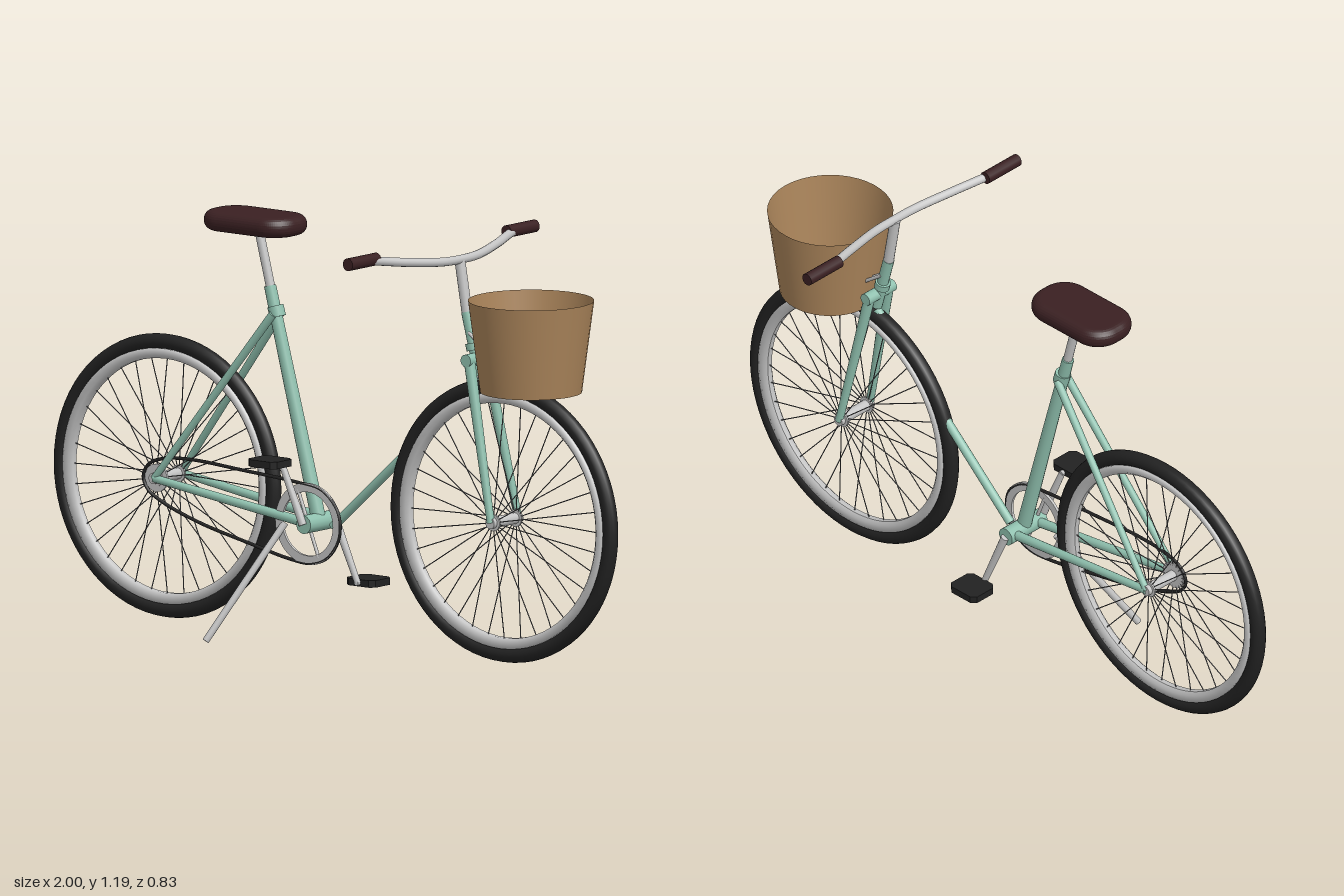
import * as THREE from 'three';
import { mergeGeometries } from 'three/addons/utils/BufferGeometryUtils.js';

const mat = (name, color, side = THREE.FrontSide) => {
  const m = new THREE.MeshStandardMaterial({ color, side });
  m.name = name;
  return m;
};
const V = (x, y, z = 0) => new THREE.Vector3(x, y, z);

// Tapered cylinder between two points
function rod(a, b, r0, r1 = r0, sides = 14) {
  const d = b.clone().sub(a);
  const g = new THREE.CylinderGeometry(r1, r0, d.length(), sides);
  g.applyQuaternion(new THREE.Quaternion().setFromUnitVectors(V(0, 1), d.normalize()));
  const c = a.clone().add(b).multiplyScalar(0.5);
  return g.translate(c.x, c.y, c.z);
}

export function createModel() {
  const group = new THREE.Group();
  const frame = mat('sage green paint', 0x8fc0ae);
  const silver = mat('silver metal', 0xc4c4c4);
  const spokeMat = mat('spoke grey', 0x6c6c6e);
  const black = mat('black rubber', 0x222222);
  const leather = mat('dark brown leather', 0x3a2022);
  const wicker = mat('basket tan', 0xaa845a, THREE.DoubleSide);

  const add = (name, geo, material, parent = group) => {
    const m = new THREE.Mesh(geo, material);
    m.name = name;
    parent.add(m);
    return m;
  };
  const tube = (name, a, b, material, r0, r1) => add(name, rod(a, b, r0, r1), material);

  // Wheels: tyre, rim, hub with flanges, spokes
  const AX = 0.6, AY = 0.41;
  for (const [name, x] of [['rearWheel', -AX], ['frontWheel', AX]]) {
    const wheel = new THREE.Group();
    wheel.name = name;
    wheel.position.set(x, AY, 0);
    group.add(wheel);
    add('tyre', new THREE.TorusGeometry(0.378, 0.022, 14, 72), black, wheel);
    const rimProfile = [[0.331, -0.008], [0.34, -0.017], [0.36, -0.018], [0.36, 0.018],
      [0.34, 0.017], [0.331, 0.008], [0.331, -0.008]].map(p => new THREE.Vector2(...p));
    add('rim', new THREE.LatheGeometry(rimProfile, 72).rotateX(Math.PI / 2), silver, wheel);
    add('hub', rod(V(0, 0, -0.065), V(0, 0, 0.065), 0.016), silver, wheel);
    for (const s of [-1, 1])
      add('hubFlange', rod(V(0, 0, s * 0.046), V(0, 0, s * 0.052), 0.024), silver, wheel);
    const spokes = [];
    for (let i = 0; i < 36; i++) {
      const a = i / 36 * Math.PI * 2, s = i % 2 ? 1 : -1;
      spokes.push(rod(V(Math.cos(a) * 0.02, Math.sin(a) * 0.02, s * 0.048),
        V(Math.cos(a) * 0.336, Math.sin(a) * 0.336, 0), 0.0016, 0.0016, 5));
    }
    add('spokes', mergeGeometries(spokes), spokeMat, wheel);
  }

  // Frame
  const bx = -0.06, by = 0.337;
  tube('bottomBracket', V(bx, by, -0.07), V(bx, by, 0.07), frame, 0.026);
  tube('seatTube', V(bx, by), V(-0.235, 0.985), frame, 0.021, 0.017);
  tube('seatCollar', V(-0.207, 0.9), V(-0.216, 0.93), frame, 0.023);
  tube('downTube', V(-0.01, 0.328), V(0.512, 0.797), frame, 0.013);
  tube('headTube', V(0.466, 0.985), V(0.513, 0.81), frame, 0.016);
  tube('upperHeadCollar', V(0.488, 0.9), V(0.493, 0.88), frame, 0.022);
  for (const s of [-1, 1]) {
    tube('chainStay', V(-AX, AY, s * 0.06), V(bx, by, s * 0.045), frame, 0.011, 0.014);
    tube('seatStay', V(-AX, AY, s * 0.06), V(-0.21, 0.91, s * 0.018), frame, 0.01, 0.012);
    tube('forkBlade', V(AX, AY, s * 0.061), V(0.505, 0.855, s * 0.037), frame, 0.011, 0.016);
  }
  tube('forkCrown', V(0.505, 0.857, -0.054), V(0.505, 0.857, 0.054), frame, 0.018);

  // Seat post and saddle
  tube('seatPost', V(-0.23, 0.97), V(-0.276, 1.145), silver, 0.013);
  const sx = 0.127, sz = 0.062, sr = 0.05;
  const outline = new THREE.Shape();
  outline.absarc(sx - sr, sz - sr, sr, 0, Math.PI / 2);
  outline.absarc(-sx + sr, sz - sr, sr, Math.PI / 2, Math.PI);
  outline.absarc(-sx + sr, -sz + sr, sr, Math.PI, Math.PI * 1.5);
  outline.absarc(sx - sr, -sz + sr, sr, Math.PI * 1.5, Math.PI * 2);
  const saddle = new THREE.ExtrudeGeometry(outline, {
    depth: 0.004, bevelThickness: 0.026, bevelSize: 0.026, bevelSegments: 6, curveSegments: 10,
  });
  saddle.rotateX(-Math.PI / 2).translate(-0.287, 1.158, 0);
  add('saddle', saddle, leather);

  // Stem, handlebar and grips
  tube('stem', V(0.468, 0.975), V(0.441, 1.13), silver, 0.015);
  const bar = new THREE.CatmullRomCurve3([
    V(0.376, 1.163, -0.4), V(0.376, 1.162, -0.33), V(0.412, 1.145, -0.2), V(0.44, 1.133, -0.08),
    V(0.444, 1.131, 0), V(0.44, 1.133, 0.08), V(0.412, 1.145, 0.2), V(0.376, 1.162, 0.33), V(0.376, 1.163, 0.4)]);
  add('handlebar', new THREE.TubeGeometry(bar, 60, 0.0125, 12), silver);
  for (const s of [-1, 1])
    tube('grip', V(0.375, 1.163, s * 0.29), V(0.375, 1.163, s * 0.417), leather, 0.018);

  // Basket: open tapered wall with a floor, and its brackets
  const wall = [[0, 0.783], [0.142, 0.783], [0.176, 1.042]].map(p => new THREE.Vector2(...p));
  const basket = new THREE.Group();
  basket.name = 'basket';
  basket.position.x = 0.695;
  group.add(basket);
  add('basketFloor', new THREE.LatheGeometry(wall.slice(0, 2), 40), wicker, basket);
  add('basketWall', new THREE.LatheGeometry(wall.slice(1), 40), wicker, basket);
  tube('basketSupport', V(0.505, 0.81), V(0.68, 0.814), silver, 0.009);
  for (const s of [-1, 1])
    tube('basketBracket', V(0.483, 0.93, s * 0.012), V(0.548, 0.88, s * 0.012), silver, 0.005);

  // Chainring, crossbar, chain
  const ring = new THREE.Shape().absarc(0, 0, 0.115, 0, Math.PI * 2);
  ring.holes.push(new THREE.Path().absarc(0, 0, 0.09, 0, Math.PI * 2, true));
  const ringGeo = new THREE.ExtrudeGeometry(ring, { depth: 0.008, bevelEnabled: false, curveSegments: 28 });
  add('chainring', ringGeo.translate(bx, by, 0.044), silver);
  tube('chainringArm', V(bx - 0.037, by + 0.093, 0.048), V(bx + 0.037, by - 0.093, 0.048), silver, 0.005);
  tube('rearCog', V(-AX, AY, 0.045), V(-AX, AY, 0.051), silver, 0.04);
  const chainPts = [[-0.648, 0.41], [-0.628, 0.447], [-0.57, 0.468], [-0.47, 0.474], [-0.3, 0.464], [-0.1, 0.45],
    [-0.01, 0.435], [0.045, 0.38], [0.05, 0.31], [0.01, 0.25], [-0.05, 0.226], [-0.12, 0.23],
    [-0.27, 0.26], [-0.45, 0.3], [-0.58, 0.344], [-0.632, 0.375]];
  const chain = new THREE.CatmullRomCurve3(chainPts.map(p => V(p[0], p[1], 0.048)), true);
  add('chain', new THREE.TubeGeometry(chain, 110, 0.005, 7, true), black);

  // Cranks and pedals, opposite each other
  for (const s of [-1, 1]) {
    const px = bx - s * 0.071, py = by + s * 0.177;
    tube('crank', V(bx, by, s * 0.072), V(px, py, s * 0.083), silver, 0.012, 0.009);
    tube('pedalAxle', V(px, py, s * 0.076), V(px, py, s * 0.1), silver, 0.007);
    const c = 0.036, w = 0.015;
    const pad = new THREE.Shape([[-c, -c - w], [c, -c - w], [c + w, -c], [c + w, c], [c, c + w],
      [-c, c + w], [-c - w, c], [-c - w, -c]].map(p => new THREE.Vector2(p[0], p[1] * 0.88)));
    const pedal = new THREE.ExtrudeGeometry(pad, { depth: 0.02, bevelEnabled: false });
    add('pedal', pedal.rotateX(-Math.PI / 2).translate(px, py - 0.01, s * 0.131), black);
  }

  // Kickstand
  tube('kickstand', V(-0.277, 0.008, 0.235), V(-0.148, 0.33, 0.042), silver, 0.01);

  return group;
}
